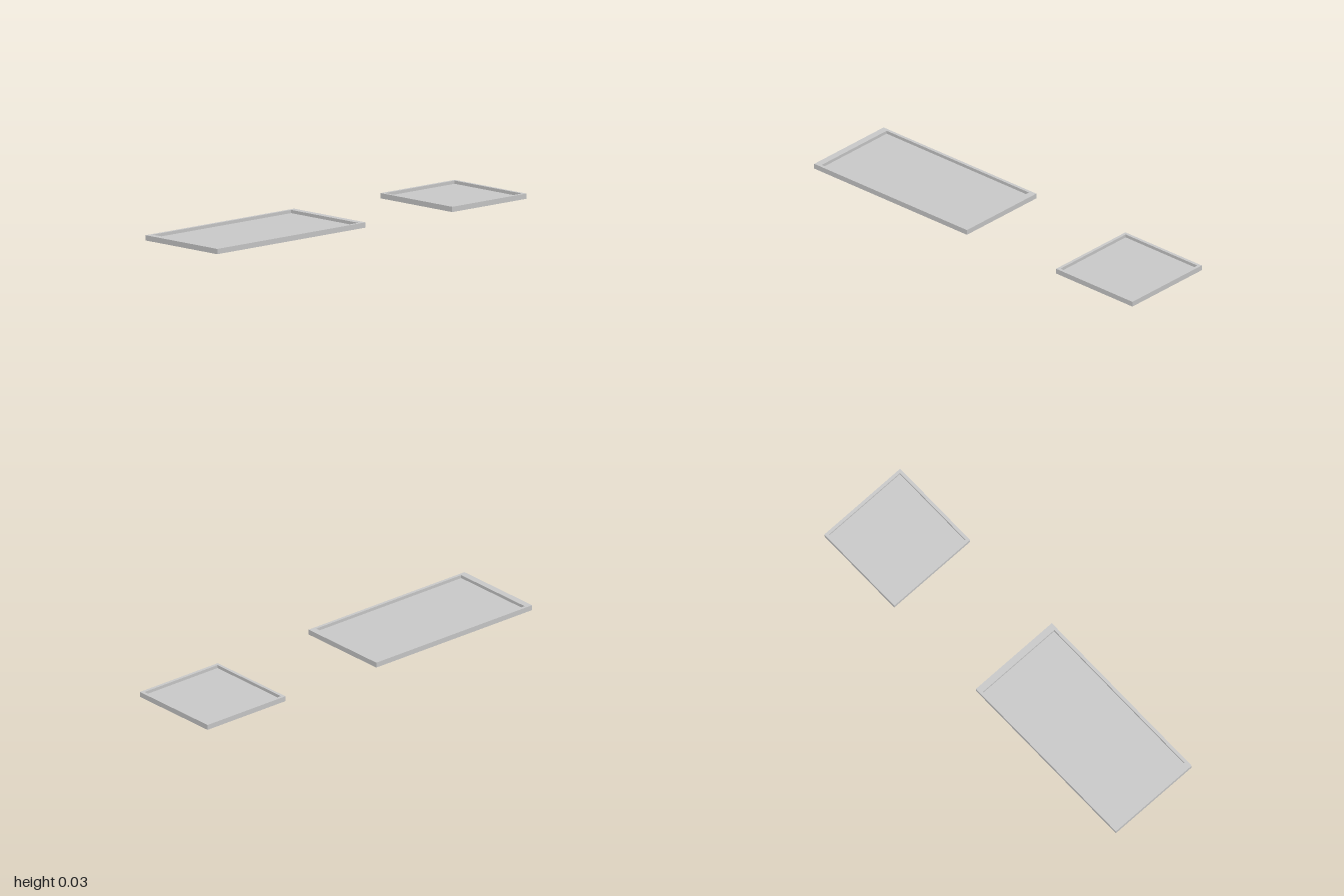
import * as THREE from 'three';

const HALF_X = 0.24, HEIGHT = 0.025, PANEL_Y = 0.01;
const material = new THREE.MeshStandardMaterial({ color: 0xcccccc, flatShading: true, side: THREE.DoubleSide });

// Pressed sheet: rectangular loops joined from the outer foot, over the rim, down to the panel
function traySheet(halfZ, rimX, rimZ) {
  const loops = [
    [HALF_X, 0, halfZ],
    [HALF_X, HEIGHT, halfZ],
    [HALF_X - rimX, HEIGHT, halfZ - rimZ],
    [HALF_X - rimX, PANEL_Y, halfZ - rimZ],
  ];
  const positions = [], index = [];
  for (const [x, y, z] of loops) positions.push(-x, y, z, x, y, z, x, y, -z, -x, y, -z);
  for (let l = 0; l < loops.length - 1; l++) {
    for (let i = 0; i < 4; i++) {
      const a = l * 4 + i, b = l * 4 + (i + 1) % 4;
      index.push(a, b, b + 4, a, b + 4, a + 4);
    }
  }
  // Recessed panel closes the last loop
  const p = (loops.length - 1) * 4;
  index.push(p, p + 1, p + 2, p, p + 2, p + 3);

  const indexed = new THREE.BufferGeometry();
  indexed.setAttribute('position', new THREE.Float32BufferAttribute(positions, 3));
  indexed.setIndex(index);
  const geometry = indexed.toNonIndexed();
  geometry.computeVertexNormals();
  return geometry;
}

function addTray(group, name, zMin, zMax, rimX, rimZ) {
  const tray = new THREE.Mesh(traySheet((zMax - zMin) / 2, rimX, rimZ), material);
  tray.name = name;
  tray.position.z = (zMin + zMax) / 2;
  group.add(tray);
}

export function createModel() {
  const group = new THREE.Group();
  group.name = 'trayPair';
  addTray(group, 'longTray', 0.04, 1, 0.015, 0.033);
  addTray(group, 'squareTray', -1, -0.52, 0.015, 0.015);
  return group;
}
